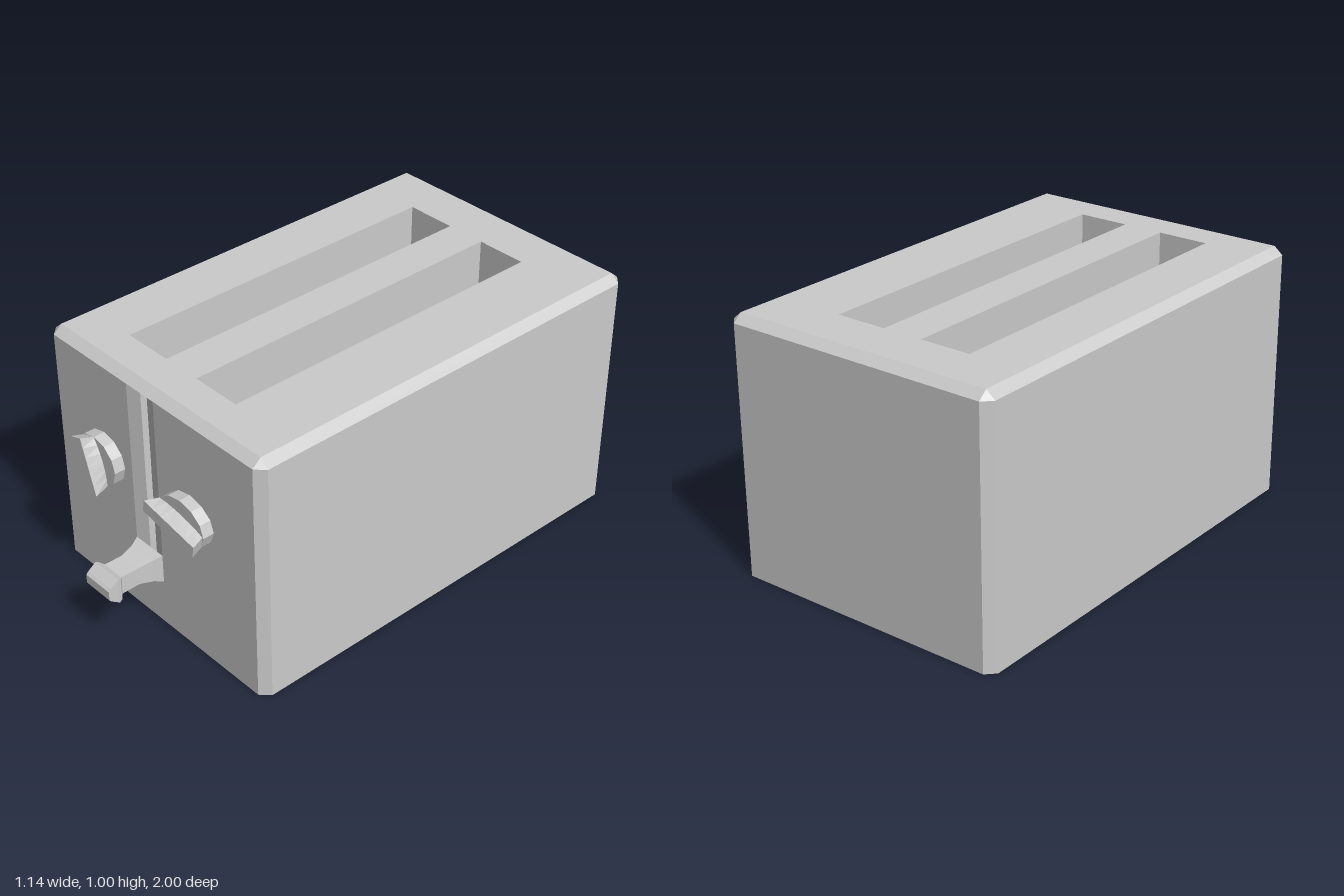
import * as THREE from 'three';

const material = new THREE.MeshStandardMaterial({ color: 0xcccccc, flatShading: true, side: THREE.DoubleSide });

function addMesh(parent, name, geometry) {
  const mesh = new THREE.Mesh(geometry, material);
  mesh.name = name;
  parent.add(mesh);
  return mesh;
}

// Flat-shaded geometry from convex panels, each a list of [x, y, z] corners
function panels(list) {
  const pos = [];
  for (const p of list)
    for (let i = 1; i < p.length - 1; i++) pos.push(...p[0], ...p[i], ...p[i + 1]);
  const g = new THREE.BufferGeometry();
  g.setAttribute('position', new THREE.Float32BufferAttribute(pos, 3));
  g.computeVertexNormals();
  return g;
}

// Skin over a row of closed rings, with optional end caps
function loft(rings, capStart, capEnd) {
  const faces = [];
  for (let r = 0; r < rings.length - 1; r++) {
    const a = rings[r], b = rings[r + 1];
    a.forEach((p, i) => {
      const j = (i + 1) % a.length;
      faces.push([p, a[j], b[j], b[i]]);
    });
  }
  if (capStart) faces.push([...rings[0]].reverse());
  if (capEnd) faces.push(rings[rings.length - 1]);
  return panels(faces);
}

// Counter-clockwise rectangle in the front plane
const rect = (x0, x1, y0, y1, z) => [[x0, y0, z], [x1, y0, z], [x1, y1, z], [x0, y1, z]];
const shapeOf = (pts) => new THREE.Shape(pts.map(([x, y]) => new THREE.Vector2(x, y)));

// Main dimensions
const W = 0.57, XI = 0.535, ZF = 0.767, ZFI = 0.732, ZB = -1, ZBI = -0.965, Y1 = 0.97;
const SLOTS = [[-0.315, -0.11], [0.052, 0.257]], SZ0 = -0.78, SZ1 = 0.6, SLOT_FLOOR = 0.12;
const GL = -0.12, GR = 0.026, GY = 0.192;

function buildHousing() {
  const housing = new THREE.Group();
  housing.name = 'housing';

  // Front wall, notched for the lever track
  addMesh(housing, 'frontWall', new THREE.ShapeGeometry(shapeOf([
    [-XI, 0], [XI, 0], [XI, Y1], [GR, Y1], [GR, GY], [GL, GY], [GL, Y1], [-XI, Y1],
  ])).translate(0, 0, ZF));

  // Back wall, side walls, bevelled corners and top bevels; the base is open
  const walls = [
    [[XI, 0, ZB], [-XI, 0, ZB], [-XI, Y1, ZB], [XI, Y1, ZB]],
    [[-XI, Y1, ZF], [XI, Y1, ZF], [XI, 1, ZFI], [-XI, 1, ZFI]],
    [[XI, Y1, ZB], [-XI, Y1, ZB], [-XI, 1, ZBI], [XI, 1, ZBI]],
  ];
  for (const s of [1, -1]) {
    const side = [
      [[W, 0, ZFI], [W, 0, ZBI], [W, Y1, ZBI], [W, Y1, ZFI]],
      [[W, Y1, ZFI], [W, Y1, ZBI], [XI, 1, ZBI], [XI, 1, ZFI]],
      [[XI, 0, ZF], [W, 0, ZFI], [W, Y1, ZFI], [XI, Y1, ZF]],
      [[W, 0, ZBI], [XI, 0, ZB], [XI, Y1, ZB], [W, Y1, ZBI]],
      [[XI, Y1, ZF], [W, Y1, ZFI], [XI, 1, ZFI]],
      [[W, Y1, ZBI], [XI, Y1, ZB], [XI, 1, ZBI]],
    ];
    for (const f of side) {
      const m = f.map(([x, y, z]) => [s * x, y, z]);
      walls.push(s > 0 ? m : m.reverse());
    }
  }
  addMesh(housing, 'walls', panels(walls));

  // Top with two bread openings
  const top = shapeOf([[-XI, -ZFI], [XI, -ZFI], [XI, -ZBI], [-XI, -ZBI]]);
  for (const [a, b] of SLOTS) {
    const hole = shapeOf([[a, -SZ1], [a, -SZ0], [b, -SZ0], [b, -SZ1]]);
    top.holes.push(hole);
  }
  addMesh(housing, 'top', new THREE.ShapeGeometry(top).rotateX(-Math.PI / 2).translate(0, 1, 0));

  // Bread slots hanging inside the housing
  for (const [a, b] of SLOTS) {
    const ring = (y) => [[a, y, SZ0], [b, y, SZ0], [b, y, SZ1], [a, y, SZ1]];
    addMesh(housing, 'breadSlot', loft([ring(1), ring(SLOT_FLOOR)], false, true));
  }
  return housing;
}

// Shallow funnel leading into a narrow slit
function buildTrack() {
  const a = -0.065, b = -0.029, zm = ZF - 0.017, zd = ZF - 0.07;
  const profile = [[GL, ZF], [a, zm], [a, zd], [b, zd], [b, zm], [GR, ZF]];
  const faces = [];
  for (let i = 0; i < profile.length - 1; i++) {
    const [x0, z0] = profile[i], [x1, z1] = profile[i + 1];
    faces.push([[x0, GY, z0], [x1, GY, z1], [x1, Y1, z1], [x0, Y1, z0]]);
  }
  for (const y of [GY, Y1]) {
    faces.push([[GL, y, ZF], [a, y, zm], [b, y, zm], [GR, y, ZF]]);
    faces.push([[a, y, zm], [a, y, zd], [b, y, zd], [b, y, zm]]);
  }
  return panels(faces);
}

// Lever: waisted stem with a flared finger tip, rows of [z, half width, half height]
function buildLever() {
  const rows = [
    [ZF, 0.073, 0.059], [0.80, 0.06, 0.047], [0.855, 0.048, 0.036], [0.93, 0.048, 0.037],
    [0.945, 0.064, 0.045], [0.957, 0.066, 0.052], [0.99, 0.066, 0.028], [1, 0.066, 0.018],
  ];
  return loft(rows.map(([z, w, h]) => rect(-w, w, -h, h, z)), false, true).translate(-0.047, 0.251, 0);
}

// Round dial with a flared, leaf-shaped grip across it
function buildKnob(name, x, y, rx, ry, length, width, angle) {
  const knob = new THREE.Group();
  knob.name = name;
  const dial = new THREE.CylinderGeometry(1, 1, 0.045, 12).rotateX(Math.PI / 2).scale(rx, ry, 1);
  addMesh(knob, 'dial', dial).position.z = ZF + 0.0225;

  const steps = 6, rings = [];
  for (let i = 0; i <= steps; i++) {
    const t = (i / steps) * 2 - 1, w = width / 2;
    const base = w * (1 + 0.5 * (1 - t * t)), l = t * length / 2;
    rings.push([[l * 0.84, -base, 0.805], [l * 0.84, base, 0.805], [l, w, 0.866], [l, -w, 0.866]]);
  }
  addMesh(knob, 'grip', loft(rings, true, true)).rotation.z = angle;
  knob.position.set(x, y, 0);
  return knob;
}

export function createModel() {
  const model = new THREE.Group();
  model.name = 'toaster';
  model.add(buildHousing());
  addMesh(model, 'leverTrack', buildTrack());
  addMesh(model, 'lever', buildLever());
  model.add(
    buildKnob('rightKnob', -0.273, 0.588, 0.112, 0.101, 0.225, 0.062, 1.89),
    buildKnob('leftKnob', 0.203, 0.588, 0.122, 0.092, 0.267, 0.048, -0.18),
  );
  return model;
}
